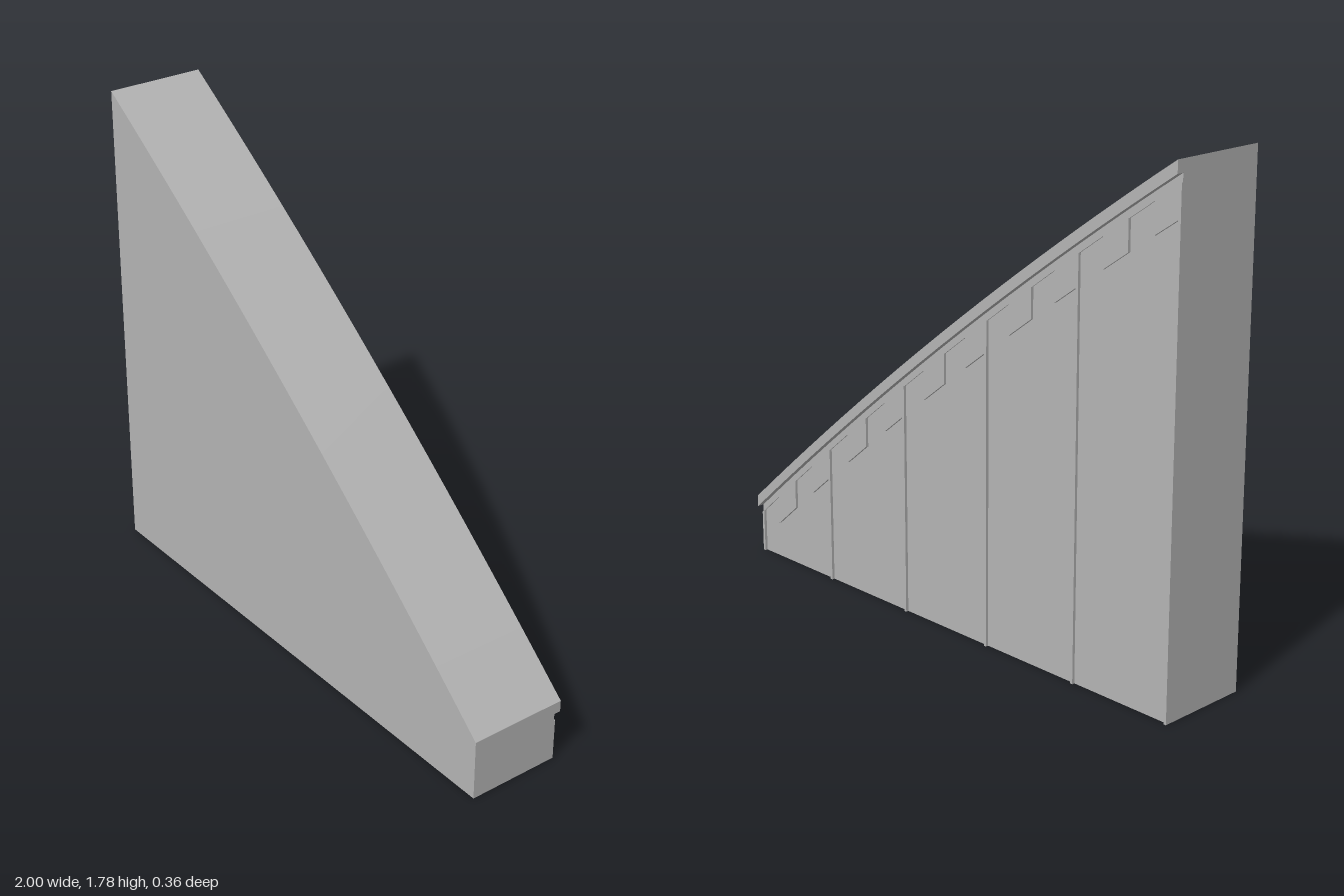
import * as THREE from 'three';

const FRONT = 0.18, WALL_BACK = -0.15, TRIM_BACK = -0.16, CORNICE_BACK = -0.18;

// height of the gently curved sloping top edge
const topAt = (x) => 1.055 - 0.779 * x - 0.054 * x * x;

export function createModel() {
  const group = new THREE.Group();
  const stone = new THREE.MeshStandardMaterial({ color: 0xb4b4b4 });
  stone.name = 'grey stone';

  // slab between x0 and x1 whose edges follow the two height functions
  function slab(name, x0, x1, upper, lower, zBack, zFront) {
    const n = Math.max(1, Math.round((x1 - x0) / 0.1));
    const points = [];
    for (let i = 0; i <= n; i++) {
      const x = x0 + ((x1 - x0) * i) / n;
      points.push(new THREE.Vector2(x, lower(x)));
    }
    for (let i = n; i >= 0; i--) {
      const x = x0 + ((x1 - x0) * i) / n;
      points.push(new THREE.Vector2(x, upper(x)));
    }
    const geometry = new THREE.ExtrudeGeometry(new THREE.Shape(points), {
      depth: zFront - zBack, bevelEnabled: false,
    });
    geometry.translate(0, 0, zBack);
    const mesh = new THREE.Mesh(geometry, stone);
    mesh.name = name;
    group.add(mesh);
  }
  const below = (d) => (x) => topAt(x) - d;
  const ground = () => 0;

  // main wall, and the cornice overhanging its back
  slab('wall', -1, 1, topAt, ground, WALL_BACK, FRONT);
  slab('cornice', -1, 1, topAt, below(0.042), CORNICE_BACK, WALL_BACK);
  slab('corniceMoulding', -1, 1, below(0.042), below(0.07), -0.155, WALL_BACK);

  // row of blocks under the cornice
  for (let i = 0; i < 10; i++) {
    const x = -1 + i * 0.2;
    slab('corniceBlock', x, x + 0.1, below(0.07), below(0.175), TRIM_BACK, WALL_BACK);
  }

  // thin upright ribs dividing the back into panels
  for (let i = 0; i < 6; i++) {
    const x = i === 5 ? 0.99 : -1 + i * 0.4;
    slab('panelRib', x, x + 0.01, below(i === 5 ? 0.07 : 0.175), ground, TRIM_BACK, WALL_BACK);
  }
  return group;
}
